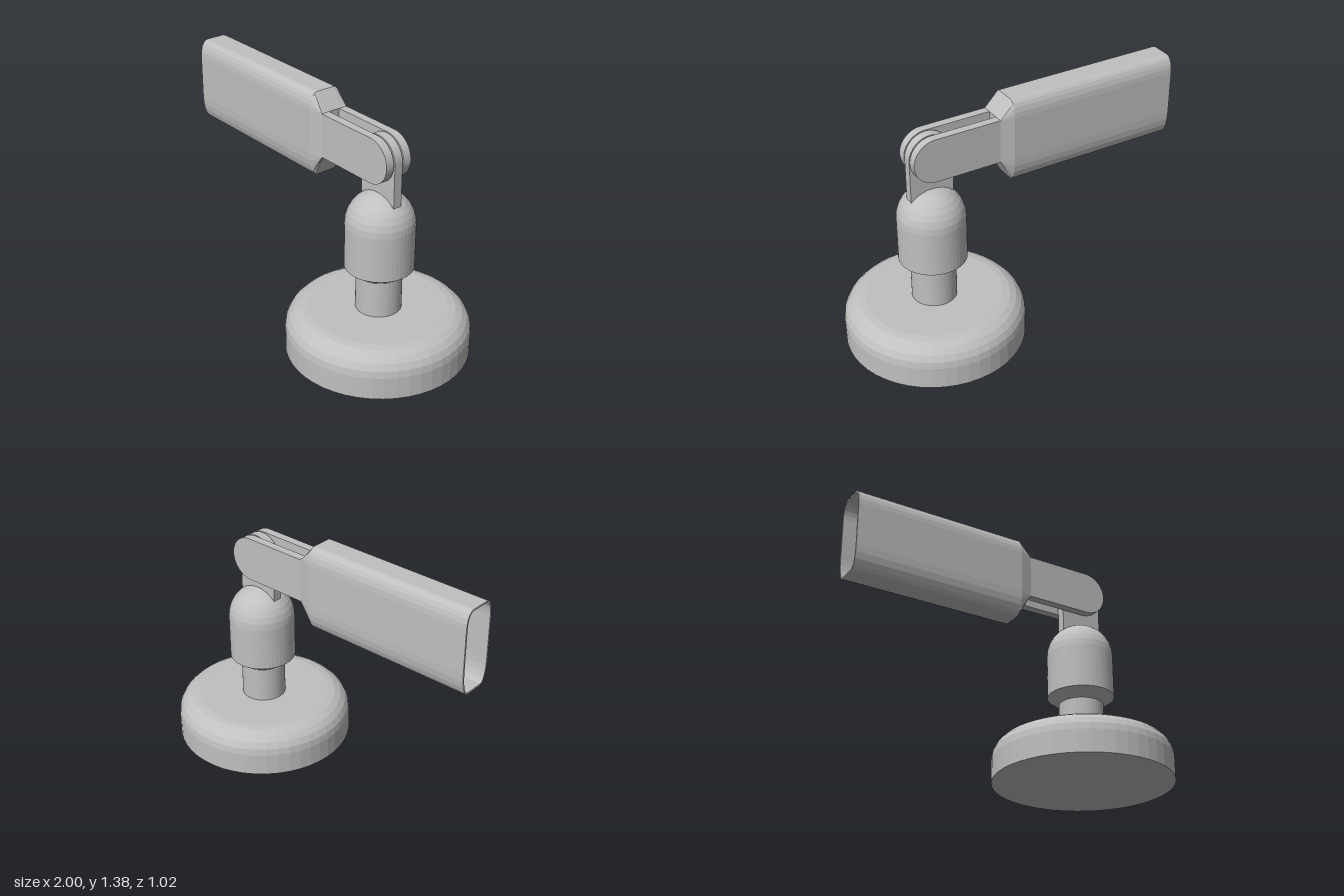
import * as THREE from 'three';

const CX = 0.486;            // axis of the base and swivel
const PY = 1.157, PR = 0.127; // hinge centre height and radius

// points of a quarter ellipse from angle a0 to a1
function arc(cx, cy, rx, ry, a0, a1, n) {
  return Array.from({ length: n + 1 }, (_, i) => {
    const a = a0 + (a1 - a0) * i / n;
    return new THREE.Vector2(cx + rx * Math.cos(a), cy + ry * Math.sin(a));
  });
}

// closed skin through rings of [x, y, z] points running along +x
function loft(rings) {
  const pos = [], idx = [], n = rings[0].length;
  rings.forEach(r => r.forEach(p => pos.push(...p)));
  for (let k = 0; k < rings.length - 1; k++) {
    for (let i = 0; i < n; i++) {
      const j = (i + 1) % n, a = k * n + i, b = k * n + j;
      idx.push(a, a + n, b, b, a + n, b + n);
    }
  }
  const g = new THREE.BufferGeometry();
  g.setAttribute('position', new THREE.Float32BufferAttribute(pos, 3));
  g.setIndex(idx);
  g.computeVertexNormals();
  return g;
}

export function createModel() {
  const model = new THREE.Group();
  model.name = 'swivelHandle';
  const grey = new THREE.MeshStandardMaterial({ color: 0xc0c0c0, flatShading: true });
  grey.name = 'grey';
  const add = (name, geometry, x = 0, y = 0, z = 0) => {
    const mesh = new THREE.Mesh(geometry, grey);
    mesh.name = name;
    mesh.position.set(x, y, z);
    model.add(mesh);
  };
  const V = (x, y) => new THREE.Vector2(x, y);
  const H = Math.PI / 2;

  // round foot with a rolled upper rim
  add('base', new THREE.LatheGeometry(
    [V(0, 0), V(0.512, 0), ...arc(0.385, 0.13, 0.127, 0.125, 0, H, 5), V(0, 0.255)], 48), CX);

  // neck
  add('neck', new THREE.CylinderGeometry(0.127, 0.127, 0.24, 48), CX, 0.36);

  // domed swivel body with a chamfered lower edge
  add('swivelBody', new THREE.LatheGeometry(
    [V(0, 0.467), V(0.127, 0.467), V(0.191, 0.513), ...arc(0, 0.77, 0.191, 0.19, 0, H, 8)], 48), CX);

  // flat hinge plates with a round end
  const plate = (shape, z0, z1) => {
    const g = new THREE.ExtrudeGeometry(shape, { depth: z1 - z0, bevelEnabled: false, curveSegments: 24 });
    return g.translate(0, 0, z0);
  };
  const tongue = new THREE.Shape();
  tongue.moveTo(CX - PR, 0.8);
  tongue.lineTo(CX + PR, 0.8);
  tongue.lineTo(CX + PR, PY);
  tongue.absarc(CX, PY, PR, 0, Math.PI, false);
  tongue.closePath();
  add('hingeTongue', plate(tongue, -0.026, 0.026));

  const arm = new THREE.Shape();
  arm.moveTo(0.09, PY - PR);
  arm.lineTo(CX, PY - PR);
  arm.absarc(CX, PY, PR, -H, H, false);
  arm.lineTo(0.09, PY + PR);
  arm.closePath();
  add('leftForkArm', plate(arm, 0.034, 0.083));
  add('rightForkArm', plate(arm, -0.083, -0.034));

  // hollow handle, tapering to the fork; t is the inset from the outer skin
  const section = t => {
    const top = PY + PR, low = PY - PR, c = 0.056, r = 0.049 - t;
    return [
      ...arc(c, top, r, 0.096 - t, 0, H, 5), ...arc(-c, top, r, 0.096 - t, H, 2 * H, 5),
      ...arc(-c, low, r, 0.138 - t, 2 * H, 3 * H, 5), ...arc(c, low, r, 0.138 - t, 3 * H, 4 * H, 5),
    ];
  };
  const ring = (pts, x) => pts.map(p => [x, p.y, p.x]);
  const outer = section(0), inner = section(0.01);
  const clamp = THREE.MathUtils.clamp;
  const end = outer.map(p => V(clamp(p.x, -0.083, 0.083), clamp(p.y, PY - PR, PY + PR)));
  const centre = outer.map(() => V(0, PY));
  add('handle', loft([
    ring(centre, 0.02), ring(inner, 0.02), ring(inner, -1),
    ring(outer, -1), ring(outer, 0.025), ring(end, 0.1), ring(centre, 0.1),
  ]));

  return model;
}
